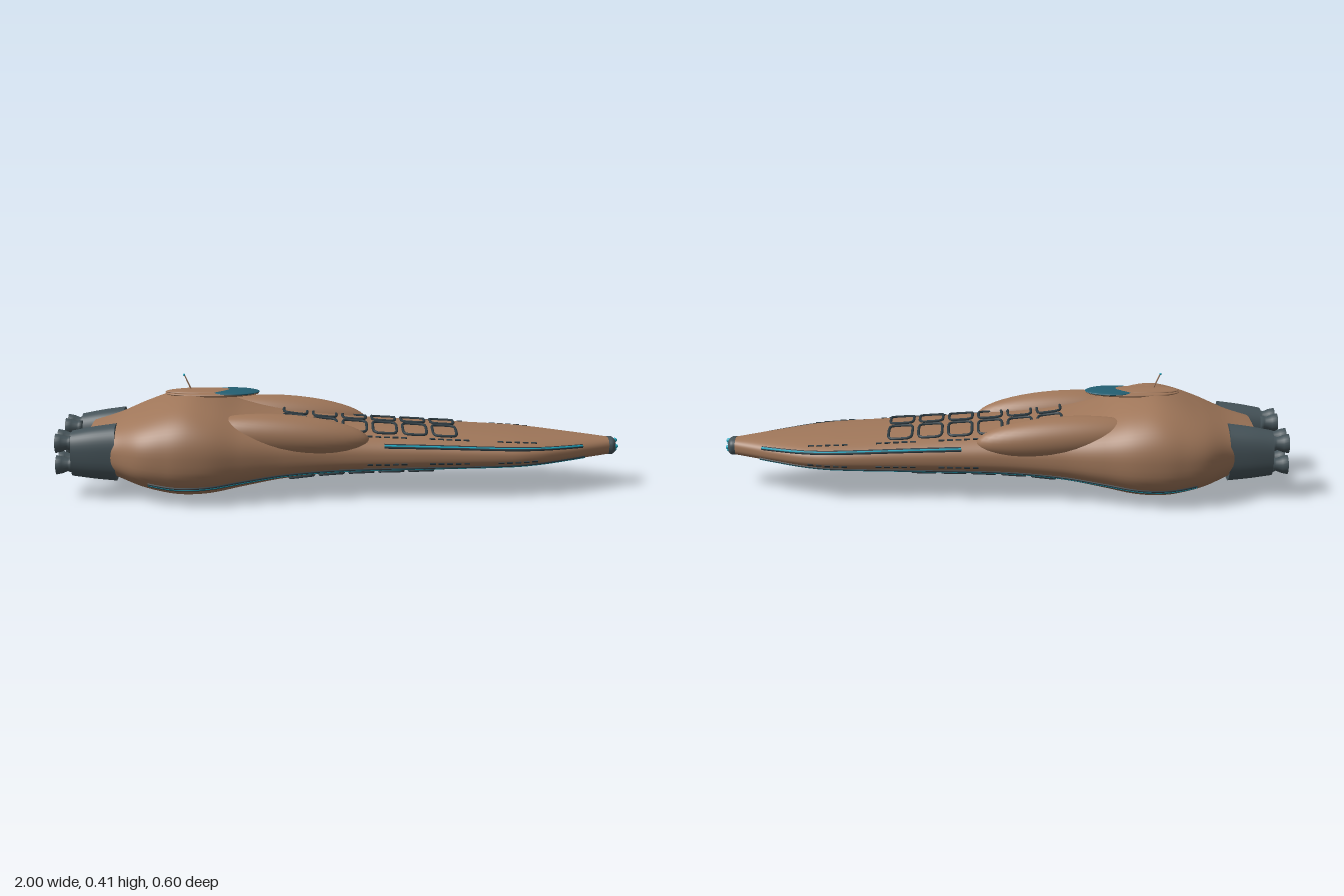
import * as THREE from 'three';

const mat = (name, color) => {
  const m = new THREE.MeshStandardMaterial({ color });
  m.name = name;
  return m;
};

// Hull stations: x, half width, top, bottom, height of the widest line
const HULL = [
  [-0.89, 0.165, 0.235, 0.085, 0.16], [-0.8, 0.207, 0.262, 0.063, 0.158], [-0.7, 0.272, 0.302, 0.03, 0.155],
  [-0.6, 0.297, 0.337, 0.007, 0.15], [-0.53, 0.302, 0.347, 0.002, 0.15], [-0.45, 0.294, 0.333, 0.008, 0.15],
  [-0.35, 0.267, 0.3, 0.028, 0.15], [-0.2, 0.23, 0.268, 0.055, 0.15], [0, 0.203, 0.246, 0.073, 0.15],
  [0.3, 0.193, 0.226, 0.082, 0.15], [0.6, 0.187, 0.207, 0.093, 0.148], [0.7, 0.167, 0.199, 0.099, 0.148],
  [0.8, 0.124, 0.191, 0.106, 0.147], [0.9, 0.073, 0.183, 0.112, 0.147], [0.97, 0.038, 0.176, 0.118, 0.147],
];

// Smooth interpolation between stations
function section(table, x) {
  let i = 0;
  while (i < table.length - 2 && x > table[i + 1][0]) i++;
  const a = table[i], b = table[i + 1], p = table[i - 1] || a, q = table[i + 2] || b;
  const h = b[0] - a[0], t = (x - a[0]) / h, t2 = t * t, t3 = t2 * t;
  return a.map((v, k) => {
    const m0 = (b[k] - p[k]) / (b[0] - p[0]) * h, m1 = (q[k] - v) / (q[0] - a[0]) * h;
    return (2 * t3 - 3 * t2 + 1) * v + (t3 - 2 * t2 + t) * m0 + (3 * t2 - 2 * t3) * b[k] + (t3 - t2) * m1;
  });
}

// Point on a rounded body at station x and angle a (0 = side, +90 degrees = top)
const N = 2.5;
function surface(table, x, a, offset = 0, side = 1) {
  const [, w, top, bottom, mid] = section(table, x);
  const s = Math.sin(a), c = Math.cos(a);
  const pow = (v) => Math.sign(v) * Math.abs(v) ** (2 / N);
  const y = mid + pow(s) * (s > 0 ? top - mid : mid - bottom) + s * offset;
  return new THREE.Vector3(x, y, side * (w * pow(c) + c * offset));
}

// Height of the hull's upper or lower skin at x, z
function skinY(x, z, up) {
  const [, w, top, bottom, mid] = section(HULL, x);
  const k = Math.max(0, 1 - (Math.abs(z) / w) ** N) ** (1 / N);
  return up ? mid + (top - mid) * k : mid - (mid - bottom) * k;
}

function loft(table, steps, sides = 72) {
  const pos = [], index = [], x0 = table[0][0], x1 = table[table.length - 1][0];
  const ring = (x) => {
    for (let j = 0; j < sides; j++) pos.push(...surface(table, x, j / sides * Math.PI * 2).toArray());
  };
  for (let i = 0; i <= steps; i++) ring(x0 + (x1 - x0) * i / steps);
  for (let i = 0; i < steps; i++) {
    for (let j = 0; j < sides; j++) {
      const k = (j + 1) % sides, a = i * sides, b = a + sides;
      index.push(a + j, b + j, a + k, b + j, b + k, a + k);
    }
  }
  // End caps on their own vertices keep the rims sharp
  [x0, x1].forEach((x, end) => {
    const first = pos.length / 3;
    ring(x);
    pos.push(x, section(table, x)[4], 0);
    for (let j = 0; j < sides; j++) {
      const k = (j + 1) % sides;
      index.push(first + sides, first + (end ? k : j), first + (end ? j : k));
    }
  });
  const g = new THREE.BufferGeometry();
  g.setAttribute('position', new THREE.Float32BufferAttribute(pos, 3));
  g.setIndex(index);
  g.computeVertexNormals();
  return g;
}

export function createModel() {
  const ship = new THREE.Group();
  ship.name = 'spaceship';
  const brown = mat('hull brown', 0xa0775a);
  const grey = mat('engine grey', 0x46545a);
  const trim = mat('dark trim', 0x2f3d44);
  const glass = mat('teal glass', 0x235f72);
  const glow = mat('cyan light', 0x1fa9c2);
  const bell = mat('nozzle grey', 0x46545a);
  bell.side = THREE.DoubleSide;

  const add = (name, geometry, material, x = 0, y = 0, z = 0) => {
    const m = new THREE.Mesh(geometry, material);
    m.name = name;
    m.position.set(x, y, z);
    ship.add(m);
    return m;
  };
  const ball = new THREE.SphereGeometry(1, 40, 24);
  const ellipsoid = (name, material, c, r) => {
    const m = add(name, ball, material, ...c);
    m.scale.set(...r);
    return m;
  };

  add('hull', loft(HULL, 140), brown);

  // Stripes and rows of small windows that follow the hull
  const stripe = (name, x0, x1, angle, offset, radius, material, side) => {
    const pts = [];
    for (let i = 0; i <= 40; i++) pts.push(surface(HULL, x0 + (x1 - x0) * i / 40, angle, offset, side));
    add(name, new THREE.TubeGeometry(new THREE.CatmullRomCurve3(pts), 100, radius, 6), material);
  };
  const slot = new THREE.BoxGeometry(0.02, 0.006, 0.006);
  const nozzle = new THREE.LatheGeometry([[0, 0], [0.024, 0], [0.026, 0.012], [0.022, 0.02], [0.03, 0.04], [0.034, 0.06],
    [0.029, 0.06], [0.02, 0.025], [0, 0.02]].map(([r, h]) => new THREE.Vector2(r, h)), 24);
  nozzle.rotateZ(Math.PI / 2);
  const nacelle = loft([[-0.945, 0.06, 0.238, 0.08, 0.16], [-0.87, 0.068, 0.252, 0.07, 0.16],
    [-0.79, 0.074, 0.263, 0.062, 0.16]], 16, 48);

  for (const side of [1, -1]) {
    const label = side > 0 ? 'front' : 'rear';
    for (const [name, x0, x1, angle, gap] of [['lowerStripe', -0.67, 0.87, -0.55, 0.034], ['upperStripe', 0.15, 0.86, 0.43, 0.045]]) {
      stripe(name + 'Light', x0, x1, angle, 0.001, 0.005, glow, side);
      for (const d of [-gap, gap]) stripe(name + 'Trim', x0, x1, angle + d, 0, 0.005, trim, side);
    }
    for (const angle of [0.8, -0.22]) {
      for (const start of [0.1, 0.32, 0.56]) {
        for (let i = 0; i < 5; i++) {
          const x = start + i * 0.03;
          const p = surface(HULL, x, angle, 0, side);
          const t = surface(HULL, x, angle + 0.02, 0, side).sub(p);
          const w = add('sideWindow', slot, trim, ...p.toArray());
          w.rotation.x = -Math.atan2(-t.z * side, t.y * side);
        }
      }
    }

    // Shoulder fairing
    const shoulder = ellipsoid(label + 'Shoulder', brown, [-0.2, 0.225, side * 0.155], [0.3, 0.075, 0.075]);
    shoulder.rotation.z = -0.07;

    // Engine block with four nozzles
    add(label + 'Engine', nacelle, grey, 0, 0, side * 0.132);
    for (const y of [0.121, 0.199]) {
      for (const z of [0.083, 0.15]) add('nozzle', nozzle, bell, -0.94, y, side * z);
    }
  }

  // Rounded panel frames laid on the upper and lower skin
  const panel = (cx, cz, rx, rz, up) => {
    const pts = [];
    for (let i = 0; i < 32; i++) {
      const a = i / 32 * Math.PI * 2, c = Math.cos(a), s = Math.sin(a);
      const x = cx + rx * Math.sign(c) * Math.abs(c) ** 0.4, z = cz + rz * Math.sign(s) * Math.abs(s) ** 0.4;
      pts.push(new THREE.Vector3(x, skinY(x, z, up) + (up ? 0.003 : -0.003), z));
    }
    add(up ? 'topPanelFrame' : 'bellyPanelFrame',
      new THREE.TubeGeometry(new THREE.CatmullRomCurve3(pts, true), 64, 0.005, 6, true), trim);
  };
  for (let i = 0; i < 6; i++) {
    for (const z of [-0.07, 0.07]) panel(-0.163 + i * 0.106, z, 0.042, 0.056, true);
  }
  for (let i = 0; i < 5; i++) {
    for (const z of [-0.097, 0, 0.097]) panel(-0.14 + i * 0.106, z, 0.042, 0.042, false);
  }

  // Bridge disc with a glazed front and an aerial
  ellipsoid('bridgeBase', brown, [-0.46, 0.345, 0], [0.168, 0.012, 0.057]);
  ellipsoid('bridgeGlass', glass, [-0.39, 0.35, 0], [0.1, 0.009, 0.057]);
  ellipsoid('bridgeRoof', brown, [-0.488, 0.351, 0], [0.138, 0.0105, 0.042]);
  const aerial = add('aerial', new THREE.CylinderGeometry(0.002, 0.003, 0.062, 10), brown, -0.546, 0.384, 0);
  aerial.rotation.z = 0.42;
  ellipsoid('aerialTip', glow, [-0.559, 0.411, 0], [0.004, 0.004, 0.004]);

  // Nose cap with four lights
  add('noseCap', loft([[0.965, 0.041, 0.178, 0.116, 0.147], [0.98, 0.04, 0.177, 0.117, 0.147],
    [0.99, 0.031, 0.17, 0.124, 0.147]], 10, 40), grey);
  for (const [y, z] of [[0.166, 0], [0.132, 0], [0.148, 0.021], [0.148, -0.021]]) {
    ellipsoid('noseLight', glow, [0.991, y, z], [0.009, 0.008, 0.008]);
  }
  return ship;
}
